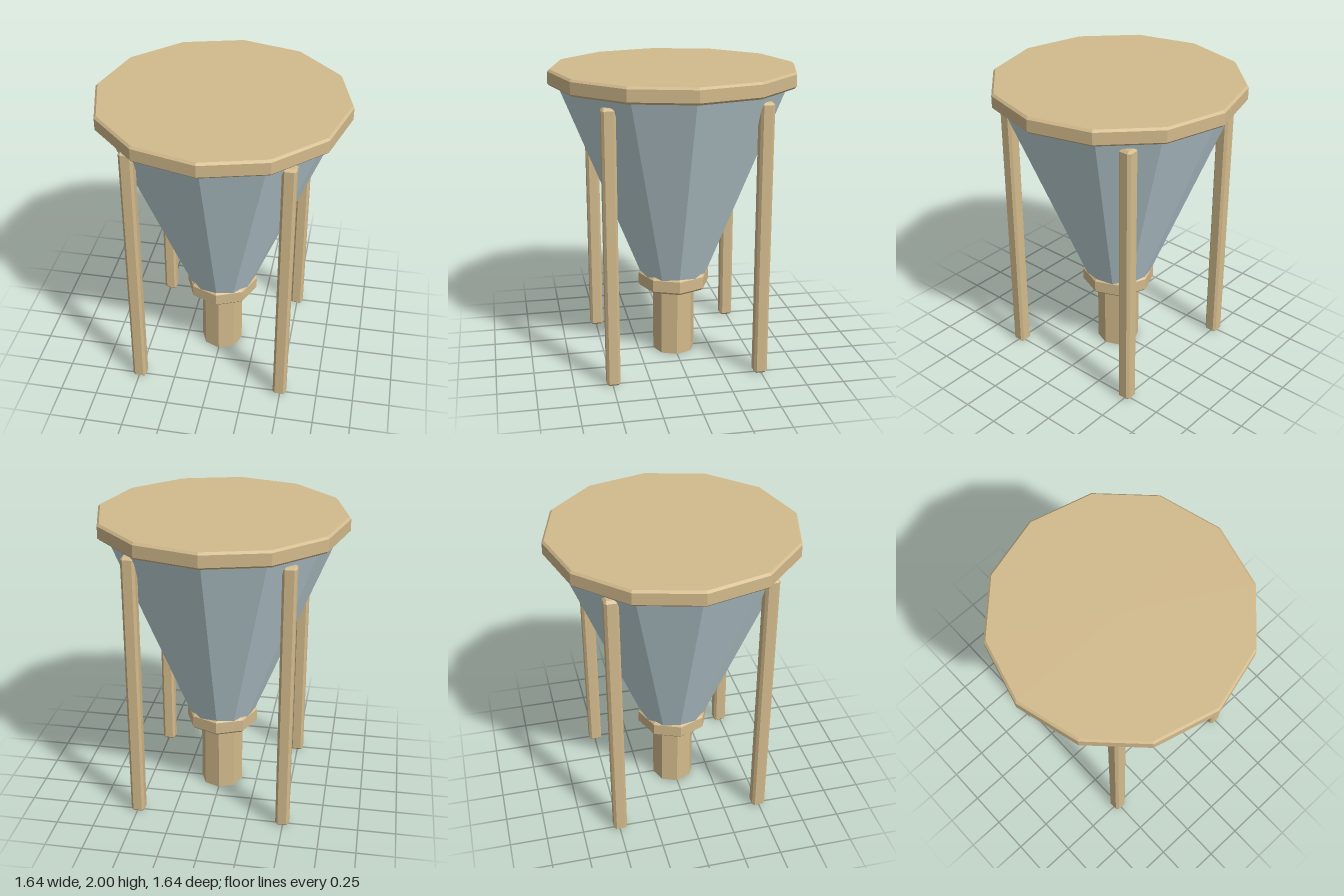
import * as THREE from 'three';
import { ConvexGeometry } from 'three/addons/geometries/ConvexGeometry.js';

// Faceted normals for the low-poly look
function facet(geometry) {
  const flat = geometry.index ? geometry.toNonIndexed() : geometry;
  flat.computeVertexNormals();
  return flat;
}

// Polygonal disc with chamfered rims, from y0 up to y1
function chamferedDisc(radius, y0, y1, sides, c) {
  const profile = [
    [0, y0], [radius - c, y0], [radius, y0 + c],
    [radius, y1 - c], [radius - c, y1], [0, y1],
  ].map(([x, y]) => new THREE.Vector2(x, y));
  return facet(new THREE.LatheGeometry(profile, sides));
}

// Post with every edge chamfered, standing on y = 0
function chamferedPost(width, height, c) {
  const half = [width / 2, height / 2, width / 2];
  const points = [];
  for (const sx of [-1, 1]) for (const sy of [-1, 1]) for (const sz of [-1, 1]) {
    for (let axis = 0; axis < 3; axis++) {
      const p = half.map((h, i) => (i === axis ? h : h - c));
      points.push(new THREE.Vector3(sx * p[0], sy * p[1] + height / 2, sz * p[2]));
    }
  }
  return facet(new ConvexGeometry(points));
}

export function createModel() {
  const model = new THREE.Group();
  model.name = 'hopper';

  const tan = new THREE.MeshStandardMaterial({ color: 0xd2ba8c });
  tan.name = 'tan';
  const paleBlue = new THREE.MeshStandardMaterial({ color: 0xbfd3d9 });
  paleBlue.name = 'paleBlue';

  const add = (name, geometry, material, x = 0, y = 0, z = 0) => {
    const mesh = new THREE.Mesh(geometry, material);
    mesh.name = name;
    mesh.position.set(x, y, z);
    model.add(mesh);
  };

  // Lid, funnel, collar and outlet share the centre axis
  add('lid', chamferedDisc(0.82, 1.895, 2, 12, 0.014), tan);
  add('funnel', facet(new THREE.CylinderGeometry(0.77, 0.206, 1.41, 12)), paleBlue, 0, 1.225);
  add('collar', chamferedDisc(0.247, 0.48, 0.592, 8, 0.016), tan);
  add('outlet', facet(new THREE.CylinderGeometry(0.145, 0.145, 0.5, 8)), tan, 0, 0.25);

  // Four corner legs
  const post = chamferedPost(0.09, 1.84, 0.016);
  for (const [side, x] of [['Left', 1], ['Right', -1]]) {
    for (const [end, z] of [['front', 1], ['back', -1]]) {
      add(`${end}${side}Leg`, post, tan, x * 0.495, 0, z * 0.495);
    }
  }
  return model;
}
